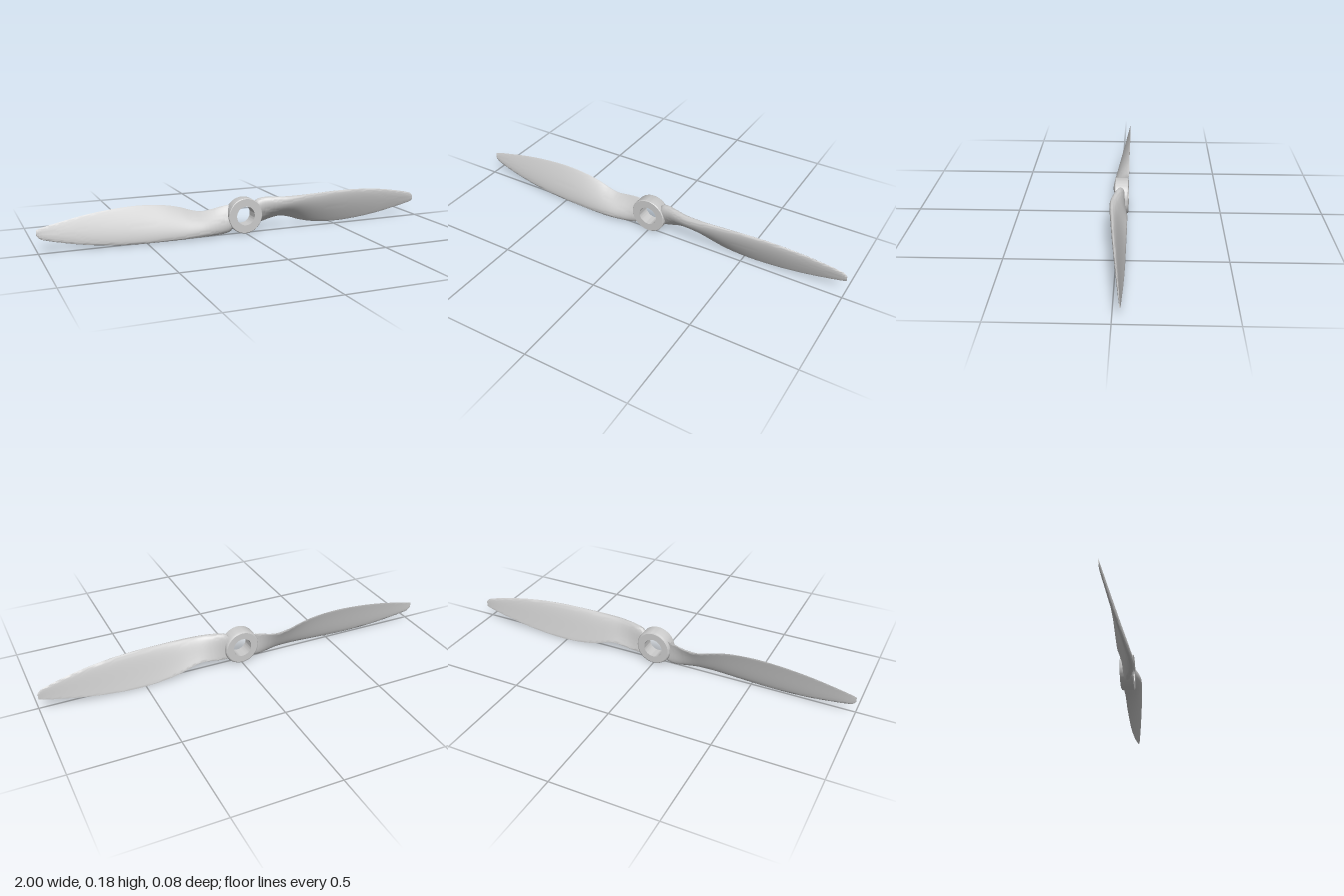
import * as THREE from 'three';
import { toCreasedNormals } from 'three/addons/utils/BufferGeometryUtils.js';

// Blade stations: x, leading edge (y, z), trailing edge (y, z), thickness; y is measured from the hub axis
const STATIONS = [
  [0.055, 0.060, -0.012, -0.050, -0.026, 0.036],
  [0.075, 0.076, -0.006, -0.052, -0.030, 0.044],
  [0.11, 0.083, 0.002, -0.047, -0.036, 0.047],
  [0.16, 0.082, 0.017, -0.036, -0.042, 0.048],
  [0.21, 0.080, 0.028, -0.030, -0.043, 0.046],
  [0.26, 0.081, 0.030, -0.040, -0.043, 0.042],
  [0.32, 0.083, 0.028, -0.060, -0.043, 0.036],
  [0.40, 0.085, 0.023, -0.077, -0.042, 0.031],
  [0.52, 0.087, 0.015, -0.086, -0.042, 0.025],
  [0.65, 0.083, 0.005, -0.080, -0.041, 0.020],
  [0.78, 0.070, -0.007, -0.064, -0.039, 0.015],
  [0.88, 0.053, -0.017, -0.045, -0.037, 0.011],
  [0.95, 0.038, -0.025, -0.030, -0.036, 0.008],
  [0.985, 0.027, -0.029, -0.021, -0.035, 0.006],
  [1.0, 0.012, -0.031, -0.015, -0.034, 0.004],
];

const AXIS_Y = 0.09;

// Loft of airfoil sections with a round nose and a thin trailing edge
function bladeGeometry(steps = 84, sides = 40) {
  const curve = (f) => new THREE.CatmullRomCurve3(STATIONS.map(f));
  const lead = curve((s) => new THREE.Vector3(s[0], s[1], s[2]));
  const trail = curve((s) => new THREE.Vector3(s[0], s[3], s[4]));
  const thick = curve((s) => new THREE.Vector3(s[0], s[5], 0));
  const pos = [];
  const idx = [];
  for (let i = 0; i <= steps; i++) {
    const k = i / steps;
    const L = lead.getPoint(k);
    const T = trail.getPoint(k);
    const t = thick.getPoint(k).y;
    const chord = T.clone().sub(L);
    const normal = new THREE.Vector3(0, chord.z, -chord.y).normalize();
    for (let j = 0; j < sides; j++) {
      const a = (j / sides) * Math.PI * 2;
      const u = (1 - Math.cos(a)) / 2;
      const off = t * (0.5 * Math.sin(a) * (1.3 - 0.95 * u) + 0.7 * u * (1 - u));
      const p = L.clone().addScaledVector(chord, u).addScaledVector(normal, off);
      pos.push(p.x, p.y, p.z);
    }
  }
  for (let i = 0; i < steps; i++) {
    for (let j = 0; j < sides; j++) {
      const a = i * sides + j;
      const b = i * sides + ((j + 1) % sides);
      idx.push(a, b, a + sides, b, b + sides, a + sides);
    }
  }
  // End caps at root and tip
  const tip = steps * sides;
  for (let j = 1; j < sides - 1; j++) {
    idx.push(0, j + 1, j);
    idx.push(tip, tip + j, tip + j + 1);
  }
  const geo = new THREE.BufferGeometry();
  geo.setAttribute('position', new THREE.Float32BufferAttribute(pos, 3));
  geo.setIndex(idx);
  return toCreasedNormals(geo, 1.0);
}

// Bored ring with softened outer edges, turned around the z axis
function hubGeometry() {
  const profile = [
    [0.047, -0.045], [0.080, -0.045], [0.085, -0.042], [0.088, -0.035],
    [0.088, 0.017], [0.085, 0.020], [0.047, 0.020], [0.047, -0.045],
  ].map(([r, z]) => new THREE.Vector2(r, z));
  const geo = new THREE.LatheGeometry(profile, 64);
  geo.rotateX(Math.PI / 2);
  // Lathe height now runs along +z
  return toCreasedNormals(geo, 0.5);
}

export function createModel() {
  const model = new THREE.Group();
  model.name = 'propeller';
  const material = new THREE.MeshStandardMaterial({ color: 0xcccccc });

  const hub = new THREE.Mesh(hubGeometry(), material);
  hub.name = 'hub';
  hub.position.y = AXIS_Y;
  model.add(hub);

  // Two identical blades, half a turn apart
  const blade = bladeGeometry();
  ['leftBlade', 'rightBlade'].forEach((name, i) => {
    const mesh = new THREE.Mesh(blade, material);
    mesh.name = name;
    mesh.position.y = AXIS_Y;
    mesh.rotation.z = i * Math.PI;
    model.add(mesh);
  });
  return model;
}
